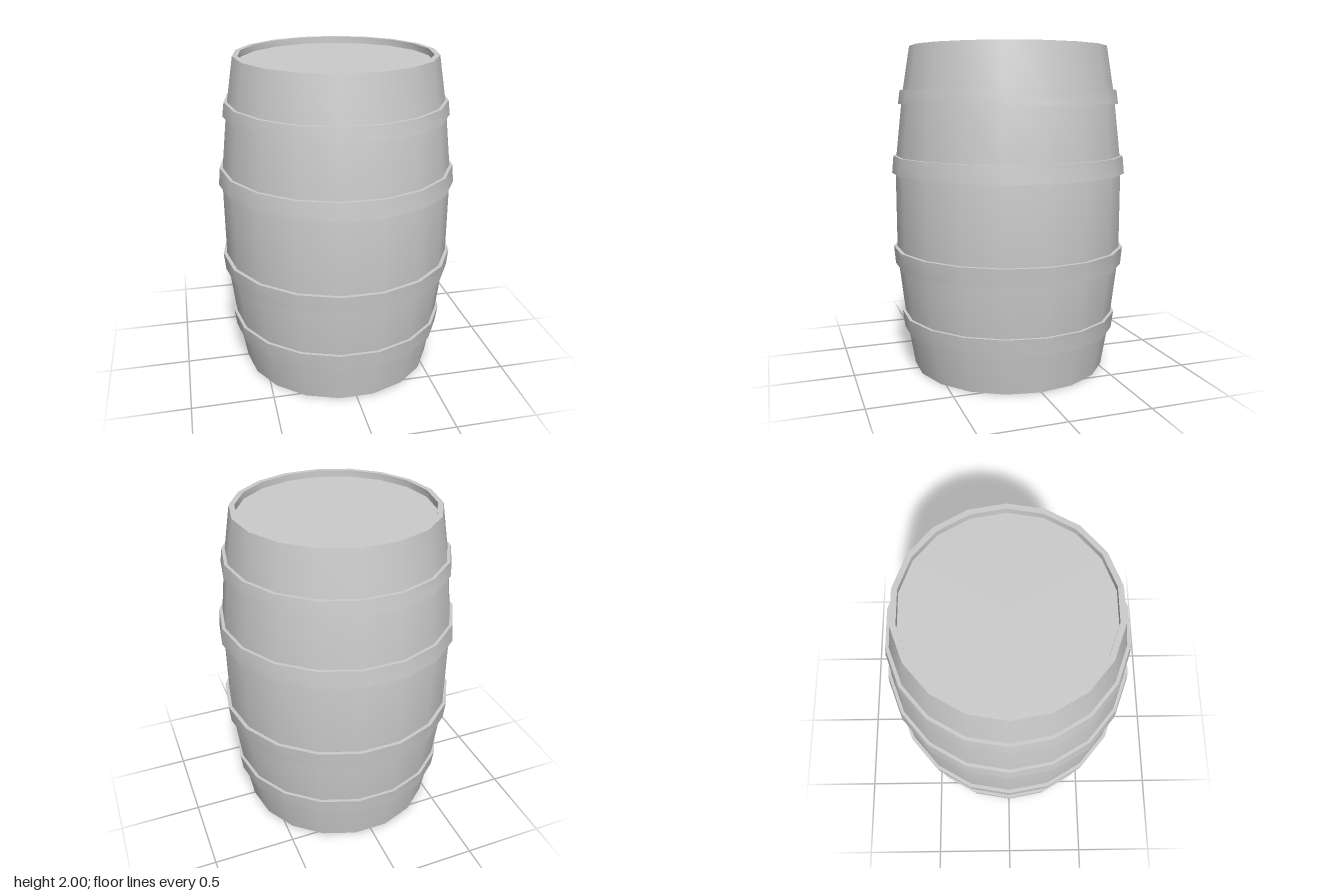
import * as THREE from 'three';
import { toCreasedNormals } from 'three/addons/utils/BufferGeometryUtils.js';

const SIDES = 18;
const material = new THREE.MeshStandardMaterial({ color: 0xcccccc });

// Revolve a [radius, y] profile, smooth around the barrel but sharp at rims
function turned(name, profile) {
  const points = profile.map(([r, y]) => new THREE.Vector2(r, y));
  const lathe = new THREE.LatheGeometry(points, SIDES, Math.PI / 2);
  const mesh = new THREE.Mesh(toCreasedNormals(lathe, Math.PI / 6), material);
  mesh.name = name;
  return mesh;
}

export function createModel() {
  const barrel = new THREE.Group();
  barrel.name = 'barrel';

  // Staves, flat base, and a lid sunk below the top lip
  barrel.add(turned('body', [
    [0, 0], [0.605, 0], [0.655, 0.3], [0.703, 0.72],
    [0.703, 1.28], [0.655, 1.7], [0.605, 2],
    [0.573, 2], [0.573, 1.96], [0, 1.96],
  ]));

  // Hoops: bottom y, bottom radius, top y, top radius
  const hoops = [
    ['lowerEndHoop', 0.244, 0.666, 0.352, 0.68],
    ['lowerMiddleHoop', 0.66, 0.715, 0.771, 0.725],
    ['upperMiddleHoop', 1.232, 0.725, 1.338, 0.715],
    ['upperEndHoop', 1.653, 0.68, 1.738, 0.668],
  ];
  for (const [name, y0, r0, y1, r1] of hoops) {
    barrel.add(turned(name, [[r0 - 0.05, y0], [r0, y0], [r1, y1], [r1 - 0.05, y1]]));
  }
  return barrel;
}
